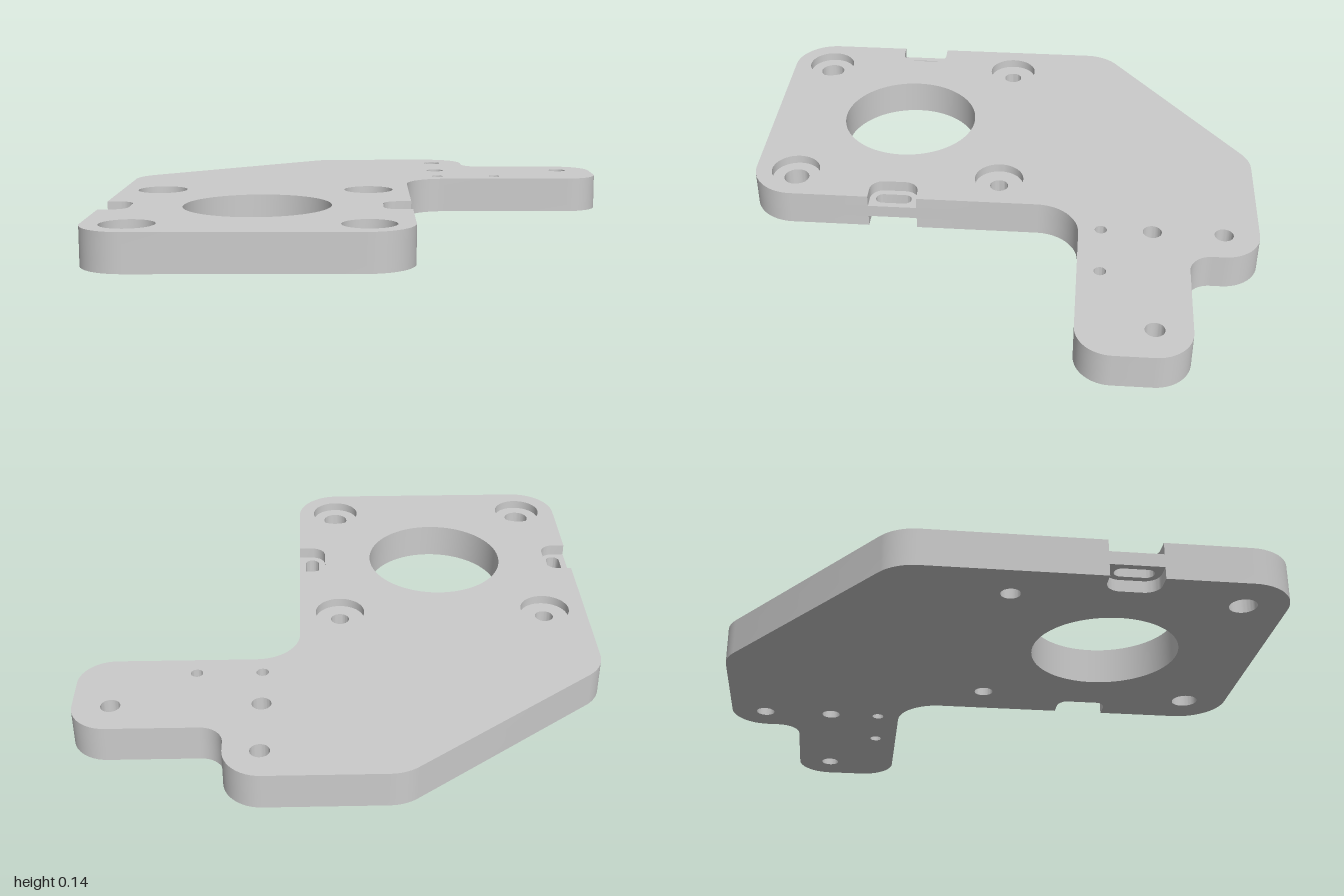
import * as THREE from 'three';
import { mergeGeometries, toCreasedNormals } from 'three/addons/utils/BufferGeometryUtils.js';

// heights: plate top, side pocket floors, counterbore floor
const TOP = 0.14, POCKET_LOW = 0.045, POCKET_HIGH = 0.095, BORE = 0.105;
const L = -0.985, R = 0.16; // sides of the main body

// corners [x, z, radius] -> points (x, -z) with true arc fillets
function rounded(corners, steps = 12) {
  const P = corners.map(([x, z]) => new THREE.Vector2(x, -z));
  const out = [];
  corners.forEach(([, , r], i) => {
    const b = P[i];
    if (!r) return out.push(b.clone());
    const u = P.at(i - 1).clone().sub(b).normalize();
    const v = P[(i + 1) % P.length].clone().sub(b).normalize();
    const half = Math.acos(u.dot(v)) / 2;
    const t = r / Math.tan(half);
    const c = b.clone().addScaledVector(u.clone().add(v).normalize(), r / Math.sin(half));
    const a0 = b.clone().addScaledVector(u, t).sub(c).angle();
    let d = b.clone().addScaledVector(v, t).sub(c).angle() - a0;
    if (d > Math.PI) d -= 2 * Math.PI;
    if (d < -Math.PI) d += 2 * Math.PI;
    for (let k = 0; k <= steps; k++) {
      const a = a0 + (d * k) / steps;
      out.push(new THREE.Vector2(c.x + r * Math.cos(a), c.y + r * Math.sin(a)));
    }
  });
  return out;
}

// clockwise circle, so that its wall faces into the hole
function circle([x, z, r], n = 48) {
  return Array.from({ length: n }, (_, i) => {
    const a = (-2 * Math.PI * i) / n;
    return new THREE.Vector2(x + r * Math.cos(a), -z + r * Math.sin(a));
  });
}

// vertical wall along a closed loop
function wall(loop, y0, y1) {
  const pos = [];
  loop.forEach((p, i) => {
    const q = loop[(i + 1) % loop.length];
    if (p.distanceTo(q) < 1e-6) return;
    pos.push(p.x, y0, -p.y, q.x, y0, -q.y, q.x, y1, -q.y);
    pos.push(p.x, y0, -p.y, q.x, y1, -q.y, p.x, y1, -p.y);
  });
  const g = new THREE.BufferGeometry();
  g.setAttribute('position', new THREE.Float32BufferAttribute(pos, 3));
  return g;
}

// flat face with holes at height y, facing up or down
function cap(loop, holes, y, up = true) {
  const shape = new THREE.Shape(loop);
  shape.holes = holes.map((h) => new THREE.Path(h));
  let g = new THREE.ShapeGeometry(shape);
  if (!up) g.index.array.reverse();
  g = g.toNonIndexed().rotateX(-Math.PI / 2).translate(0, y, 0);
  g.deleteAttribute('uv');
  g.deleteAttribute('normal');
  return g;
}

export function createModel() {
  const group = new THREE.Group();
  const material = new THREE.MeshStandardMaterial({ color: 0xcccccc });
  const add = (name, parts) => {
    const mesh = new THREE.Mesh(toCreasedNormals(mergeGeometries(parts), 0.6), material);
    mesh.name = name;
    group.add(mesh);
  };

  // pockets open to the sides, and the slots through their webs
  const rightNotch = [[R, 0.517, 0], [0.053, 0.517, 0.055], [0.053, 0.325, 0.055], [R, 0.325, 0]];
  const leftNotch = [[L, 0.325, 0], [-0.88, 0.325, 0.055], [-0.88, 0.517, 0.055], [L, 0.517, 0]];
  const slot = (x) => rounded([
    [x - 0.028, 0.35, 0.0279], [x + 0.028, 0.35, 0.0279],
    [x + 0.028, 0.492, 0.0279], [x - 0.028, 0.492, 0.0279],
  ]);

  // plate outline, with or without the pocket notches
  const outline = (right, left) => rounded([
    [L, 0.995, 0.17], [R, 0.995, 0.17], ...right,
    [R, -0.315, 0.165], [0.985, -0.315, 0.135], [0.985, -0.73, 0.135],
    [0.432, -0.73, 0.085], [0.432, -1, 0.14],
    [-0.2, -1, 0.165], [L, -0.4, 0.165], ...left,
  ]);
  const plain = outline([], []);
  const notched = outline(rightNotch, leftNotch);

  // through holes [x, z, radius]
  const plainHoles = [
    [-0.412, 0.42, 0.275],
    [0.3, -0.865, 0.036], [0.3, -0.595, 0.036], [0.845, -0.595, 0.036],
    [0.3, -0.4, 0.023], [0.545, -0.4, 0.023],
  ].map((h) => circle(h, h[2] > 0.1 ? 96 : 40));
  const mounts = [[-0.823, 0.01, 0.036], [0, 0.01, 0.036], [-0.823, 0.832, 0.05], [0, 0.832, 0.05]];
  const mountHoles = mounts.map((m) => circle(m));
  const bores = mounts.map(([x, z]) => circle([x, z, 0.097]));

  add('plate', [
    cap(notched, [...plainHoles, ...bores], TOP),
    cap(notched, [...plainHoles, ...mountHoles], 0, false),
    wall(notched, 0, POCKET_LOW),
    wall(plain, POCKET_LOW, POCKET_HIGH),
    wall(notched, POCKET_HIGH, TOP),
  ]);
  add('throughHoles', plainHoles.map((h) => wall(h, 0, TOP)));
  add('counterboredHoles', mounts.flatMap((_, i) => [
    wall(mountHoles[i], 0, BORE),
    cap(bores[i], [mountHoles[i]], BORE),
    wall(bores[i], BORE, TOP),
  ]));
  for (const [name, notch, x] of [['leftSlotPocket', rightNotch, 0.107], ['rightSlotPocket', leftNotch, -0.932]]) {
    const floor = rounded(notch), hole = slot(x);
    // the slot loop runs clockwise, so its wall faces inward
    add(name, [
      cap(floor, [hole], POCKET_HIGH),
      cap(floor, [hole], POCKET_LOW, false),
      wall(hole, POCKET_LOW, POCKET_HIGH),
    ]);
  }
  return group;
}
